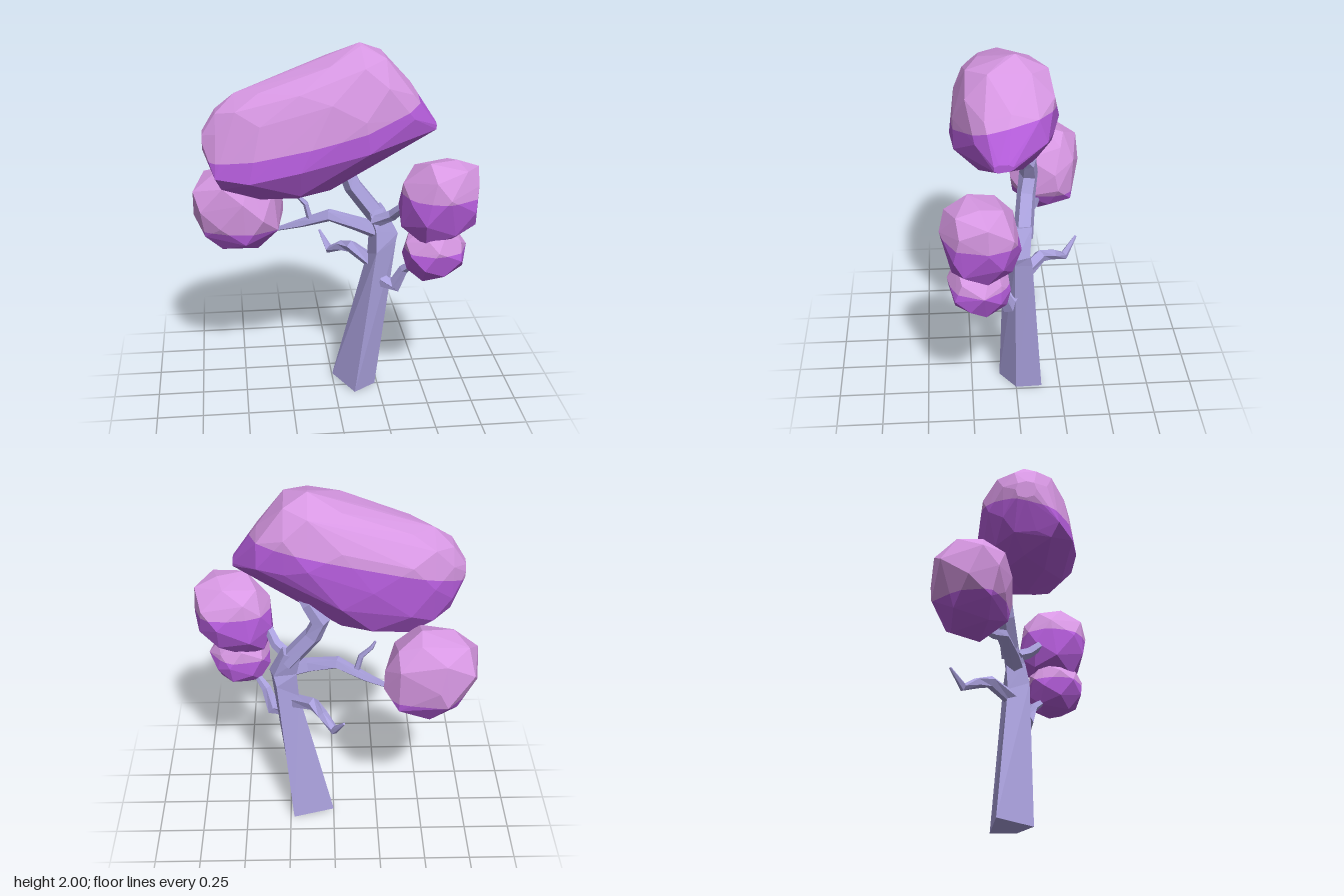
import * as THREE from 'three';
import { ConvexGeometry } from 'three/addons/geometries/ConvexGeometry.js';

const V = (x, y, z) => new THREE.Vector3(x, y, z);

// Pushes a unit circle coordinate outwards for boxier outlines
const boxy = (v, power) => Math.sign(v) * Math.abs(v) ** power;

function flatMaterial(name, color) {
  const m = new THREE.MeshStandardMaterial({ color, flatShading: true });
  m.name = name;
  return m;
}

function seeded(seed) {
  return () => {
    seed = (seed * 16807) % 2147483647;
    return seed / 2147483647;
  };
}

function soup(points) {
  const g = new THREE.BufferGeometry().setFromPoints(points);
  g.computeVertexNormals();
  return g;
}

// Closed skin over rings of equal count, counterclockwise seen from the tip
function skin(rings) {
  const sides = rings[0].length, last = rings.length - 1, out = [];
  const middle = ring => ring.reduce((s, p) => s.add(p), V(0, 0, 0)).divideScalar(sides);
  const start = middle(rings[0]), end = middle(rings[last]);
  for (let j = 0; j < sides; j++) {
    const k = (j + 1) % sides;
    for (let i = 0; i < last; i++) {
      const [a, b, c, d] = [rings[i][j], rings[i][k], rings[i + 1][k], rings[i + 1][j]];
      out.push(a, b, c, a, c, d);
    }
    out.push(start, rings[0][k], rings[0][j], end, rings[last][j], rings[last][k]);
  }
  return soup(out);
}

// Faceted limb: each station is [x, y, z, radius]
function limb(stations, sides, ref = V(0, 0, 1)) {
  const centres = stations.map(s => V(s[0], s[1], s[2]));
  const last = centres.length - 1;
  return skin(centres.map((c, i) => {
    const t = centres[Math.min(i + 1, last)].clone().sub(centres[Math.max(i - 1, 0)]).normalize();
    const u = t.clone().cross(ref).normalize();
    const v = t.clone().cross(u);
    return Array.from({ length: sides }, (_, j) => {
      const a = ((j + 0.5) / sides) * Math.PI * 2;
      return c.clone().addScaledVector(u, Math.cos(a) * stations[i][3])
        .addScaledVector(v, Math.sin(a) * stations[i][3]);
    });
  }));
}

// Convex foliage, cut into upper and lower colour groups along y = level + slope * x + tilt * z
function foliage(points, level, slope = 0, tilt = 0) {
  const pos = new ConvexGeometry(points).getAttribute('position');
  const height = p => p.y - level - slope * p.x - tilt * p.z;
  const halves = [1, -1].map(sign => {
    const out = [];
    for (let i = 0; i < pos.count; i += 3) {
      const tri = [0, 1, 2].map(k => new THREE.Vector3().fromBufferAttribute(pos, i + k));
      const poly = [];
      tri.forEach((p, k) => {
        const q = tri[(k + 1) % 3];
        const hp = height(p) * sign, hq = height(q) * sign;
        if (hp >= 0) poly.push(p);
        if (hp * hq < 0) poly.push(p.clone().lerp(q, hp / (hp - hq)));
      });
      for (let k = 2; k < poly.length; k++) out.push(poly[0], poly[k - 1], poly[k]);
    }
    return out;
  });
  const g = soup(halves.flat());
  g.addGroup(0, halves[0].length, 0);
  g.addGroup(halves[0].length, halves[1].length, 1);
  return g;
}

// Irregular rounded cluster fitted exactly into a box
function clusterPoints(min, max, seed, lean) {
  const rnd = seeded(seed), n = 30, pts = [];
  for (let i = 0; i < n; i++) {
    const y = 1 - (2 * (i + 0.5)) / n;
    const r = Math.sqrt(1 - y * y), a = i * 2.39996 + rnd() * 0.5;
    const s = 0.93 + rnd() * 0.14;
    const [bx, by, bz] = [r * Math.cos(a), y, r * Math.sin(a)].map(v => boxy(v, 0.9) * s);
    pts.push(V(bx + lean * by, by, bz));
  }
  const box = new THREE.Box3().setFromPoints(pts), size = box.getSize(V(0, 0, 0));
  const span = max.clone().sub(min);
  return pts.map(p => p.sub(box.min).divide(size).multiply(span).add(min));
}

// Main crown from boxy cross-sections: x, bottom, top, back, front
function crownPoints() {
  const rnd = seeded(77);
  return [
    [-0.69, 1.48, 1.58, 0.02, 0.13], [-0.62, 1.31, 1.69, -0.05, 0.19], [-0.52, 1.24, 1.77, -0.13, 0.25],
    [-0.40, 1.20, 1.81, -0.18, 0.29], [-0.20, 1.18, 1.88, -0.2, 0.32], [-0.04, 1.25, 1.94, -0.225, 0.33],
    [0.13, 1.33, 2.0, -0.225, 0.31], [0.25, 1.40, 1.97, -0.2, 0.27], [0.39, 1.49, 1.80, -0.14, 0.21],
    [0.52, 1.55, 1.6, 0.03, 0.13],
  ].flatMap(([x, y0, y1, z0, z1], i) => Array.from({ length: 8 }, (_, j) => {
    const a = ((j + (i % 2) * 0.5) / 8) * Math.PI * 2, s = 0.97 + rnd() * 0.05;
    const up = boxy(Math.sin(a), 0.78) * s, out = boxy(Math.cos(a), 0.78) * s;
    // The underside rises towards the back at the right end
    const lift = x > 0.1 ? 0.16 * (y1 - y0) * Math.max(0, -up) * (1 - out) : 0;
    return V(x, Math.min(2, (y0 + y1) / 2 + up * (y1 - y0) / 2 + lift), (z0 + z1) / 2 + out * (z1 - z0) / 2);
  })).concat(
    V(0.13, 2, 0),
    // Low front bulge
    V(-0.63, 1.37, 0.24), V(-0.6, 1.3, 0.2), V(-0.46, 1.36, 0.31), V(-0.2, 1.42, 0.335), V(0.15, 1.5, 0.315),
  );
}

export function createModel() {
  const tree = new THREE.Group();
  tree.name = 'tree';
  const bark = flatMaterial('lavender bark', 0xa9a0dc);
  const leaves = [flatMaterial('pink leaves', 0xd898e4), flatMaterial('purple leaves', 0xb45cda)];

  const add = (name, geometry, material) => {
    const mesh = new THREE.Mesh(geometry, material);
    mesh.name = name;
    tree.add(mesh);
  };

  // Four-cornered leaning trunk
  add('trunk', skin([
    [V(0, 0.02, -0.1), V(0.11, 0, 0.09), V(0.235, 0, 0), V(0.23, 0, -0.145)],
    [V(0.19, 0.8, -0.05), V(0.225, 0.85, 0.07), V(0.34, 0.9, 0.015), V(0.31, 0.88, -0.08)],
    [V(0.2, 0.95, -0.06), V(0.225, 0.97, 0.045), V(0.35, 0.94, 0.01), V(0.325, 0.94, -0.065)],
    [V(0.18, 1.06, -0.08), V(0.19, 1.07, 0.0), V(0.275, 1.09, 0.0), V(0.265, 1.09, -0.08)],
  ]), bark);

  // Branches
  add('mainBranch', limb([
    [0.25, 1.02, -0.035, 0.055], [0.11, 1.2, -0.06, 0.052], [0.07, 1.3, -0.075, 0.052],
    [0.13, 1.4, -0.07, 0.042], [0.22, 1.5, -0.005, 0.008],
  ], 5), bark);
  add('longBranch', limb([
    [0.25, 0.95, -0.01, 0.05], [0.13, 0.99, -0.03, 0.042], [-0.02, 1.03, -0.07, 0.036],
    [-0.17, 0.97, -0.12, 0.026], [-0.32, 0.92, -0.16, 0.01],
  ], 5), bark);
  add('longBranchTwig', limb([
    [-0.12, 0.99, -0.1, 0.018], [-0.145, 1.09, -0.1, 0.016], [-0.2, 1.15, -0.11, 0.012],
    [-0.22, 1.19, -0.11, 0.006],
  ], 5), bark);
  add('upperRightBranch', limb([
    [0.22, 1.01, 0, 0.036], [0.31, 1.07, 0.06, 0.032], [0.35, 1.13, 0.12, 0.028], [0.45, 1.18, 0.18, 0.015],
  ], 5), bark);
  add('lowerRightBranch', limb([
    [0.26, 0.67, 0.02, 0.042], [0.335, 0.65, 0.05, 0.044], [0.375, 0.76, 0.085, 0.028],
    [0.46, 0.85, 0.17, 0.012],
  ], 5), bark);
  add('backTwig', limb([
    [0.23, 0.75, -0.02, 0.042], [0.11, 0.81, -0.14, 0.036], [0.06, 0.785, -0.21, 0.03],
    [0, 0.735, -0.28, 0.025], [-0.05, 0.83, -0.35, 0.007],
  ], 5, V(1, 0, 0)), bark);

  // Leaf masses
  add('mainCrown', foliage(crownPoints(), 1.65, 0.24, -0.25), leaves);
  add('rearCluster', foliage(clusterPoints(V(-0.76, 0.81, -0.41), V(-0.26, 1.31, 0), 11, -0.1), 0.95), leaves);
  add('upperSideCluster', foliage(clusterPoints(V(0.33, 0.97, 0), V(0.75, 1.42, 0.4), 23, 0.1), 1.24), leaves);
  add('lowerSideCluster', foliage(clusterPoints(V(0.35, 0.77, 0.05), V(0.69, 1.08, 0.37), 35, 0), 0.94), leaves);

  return tree;
}
